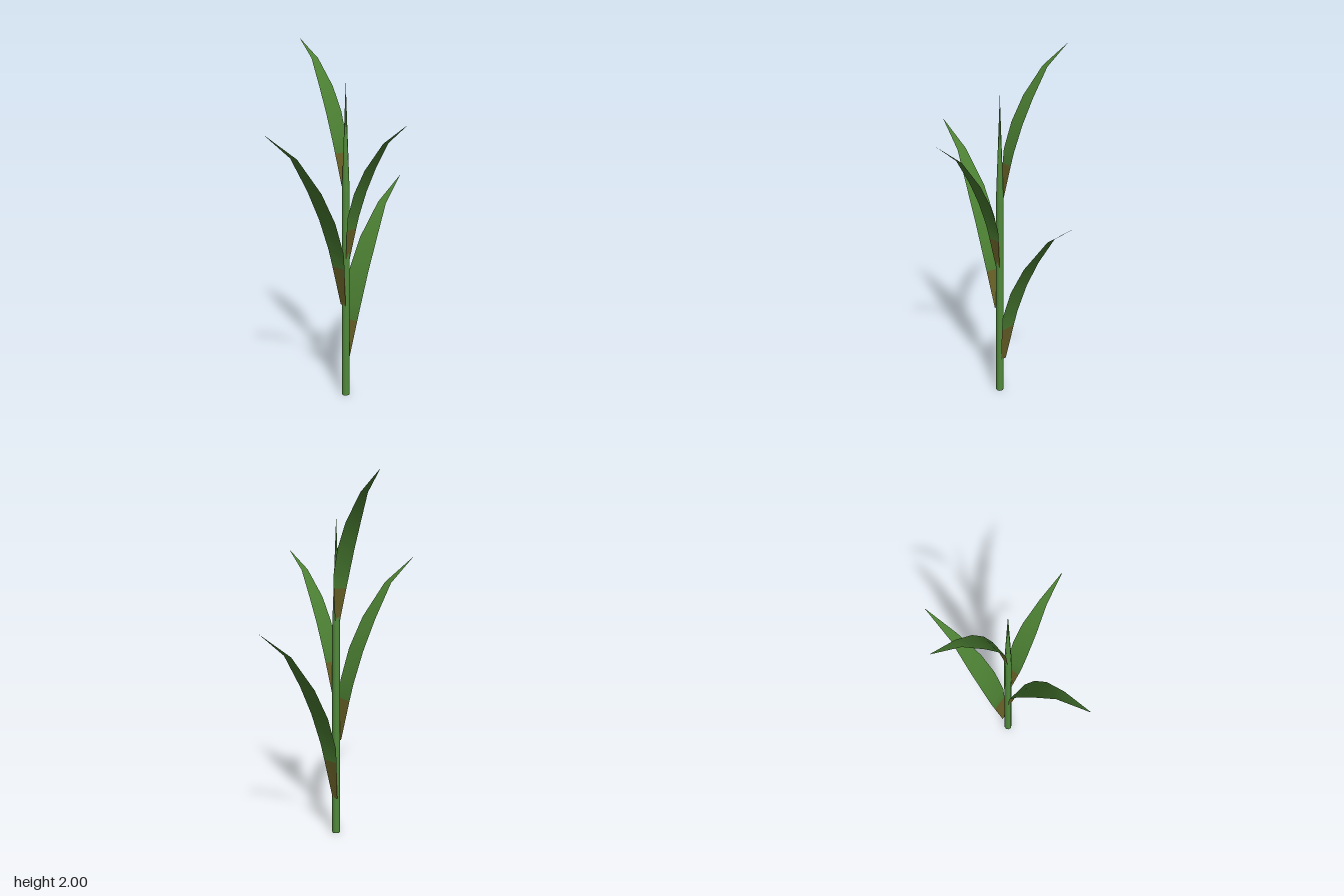
import * as THREE from 'three';

// Leaf cross-sections: distance from the stem axis, height above the leaf base, half width
const SECTIONS = [
  [0.02, 0, 0.02],
  [0.055, 0.225, 0.05],
  [0.072, 0.32, 0.062],
  [0.135, 0.5, 0.066],
  [0.222, 0.67, 0.058],
  [0.355, 0.86, 0.028],
  [0.535, 0.995, 0.001],
];

// Thin arching blade growing along +z; group 0 is the sheath end, group 1 the blade
function leafGeometry() {
  const positions = [];
  const index = [];
  SECTIONS.forEach(([out, up, half], i) => {
    positions.push(-half, up, out, half, up, out);
    if (i === 0) return;
    const a = 2 * (i - 1);
    index.push(a, a + 2, a + 1, a + 1, a + 2, a + 3);
  });
  const geometry = new THREE.BufferGeometry();
  geometry.setAttribute('position', new THREE.Float32BufferAttribute(positions, 3));
  geometry.setIndex(index);
  geometry.addGroup(0, 6, 0);
  geometry.addGroup(6, index.length - 6, 1);
  geometry.computeVertexNormals();
  return geometry;
}

export function createModel() {
  const model = new THREE.Group();
  model.name = 'stalkPlant';

  const stemGreen = new THREE.MeshStandardMaterial({ name: 'stemGreen', color: 0x528b3c });
  const leafGreen = new THREE.MeshStandardMaterial({ name: 'leafGreen', color: 0x4c8033, side: THREE.DoubleSide });
  const sheathBrown = new THREE.MeshStandardMaterial({ name: 'sheathOlive', color: 0x6a6228, side: THREE.DoubleSide });

  // Slim stem with a long pointed shoot on top
  const stem = new THREE.Mesh(new THREE.CylinderGeometry(0.021, 0.023, 1.2, 8), stemGreen);
  stem.name = 'stem';
  stem.position.y = 0.6;
  const shoot = new THREE.Mesh(new THREE.ConeGeometry(0.021, 0.58, 8, 1, true), stemGreen);
  shoot.name = 'topShoot';
  shoot.position.y = 1.49;
  model.add(stem, shoot);

  // Four leaves climbing the stem, the upper two smaller
  const geometry = leafGeometry();
  const leaves = [
    { name: 'backLeaf', y: 0.215, angle: Math.PI, size: 1, x: -0.011 },
    { name: 'frontLeaf', y: 0.55, angle: -0.16, size: 1, x: 0 },
    { name: 'leftLeaf', y: 0.815, angle: Math.PI / 2 - 0.068, size: 0.775, x: 0 },
    { name: 'rightLeaf', y: 1.226, angle: -Math.PI / 2 - 0.245, size: 0.778, x: 0 },
  ];
  for (const { name, y, angle, size, x } of leaves) {
    const leaf = new THREE.Mesh(geometry, [sheathBrown, leafGreen]);
    leaf.name = name;
    leaf.position.set(x, y, 0);
    leaf.rotation.y = angle;
    leaf.scale.setScalar(size);
    model.add(leaf);
  }
  return model;
}
